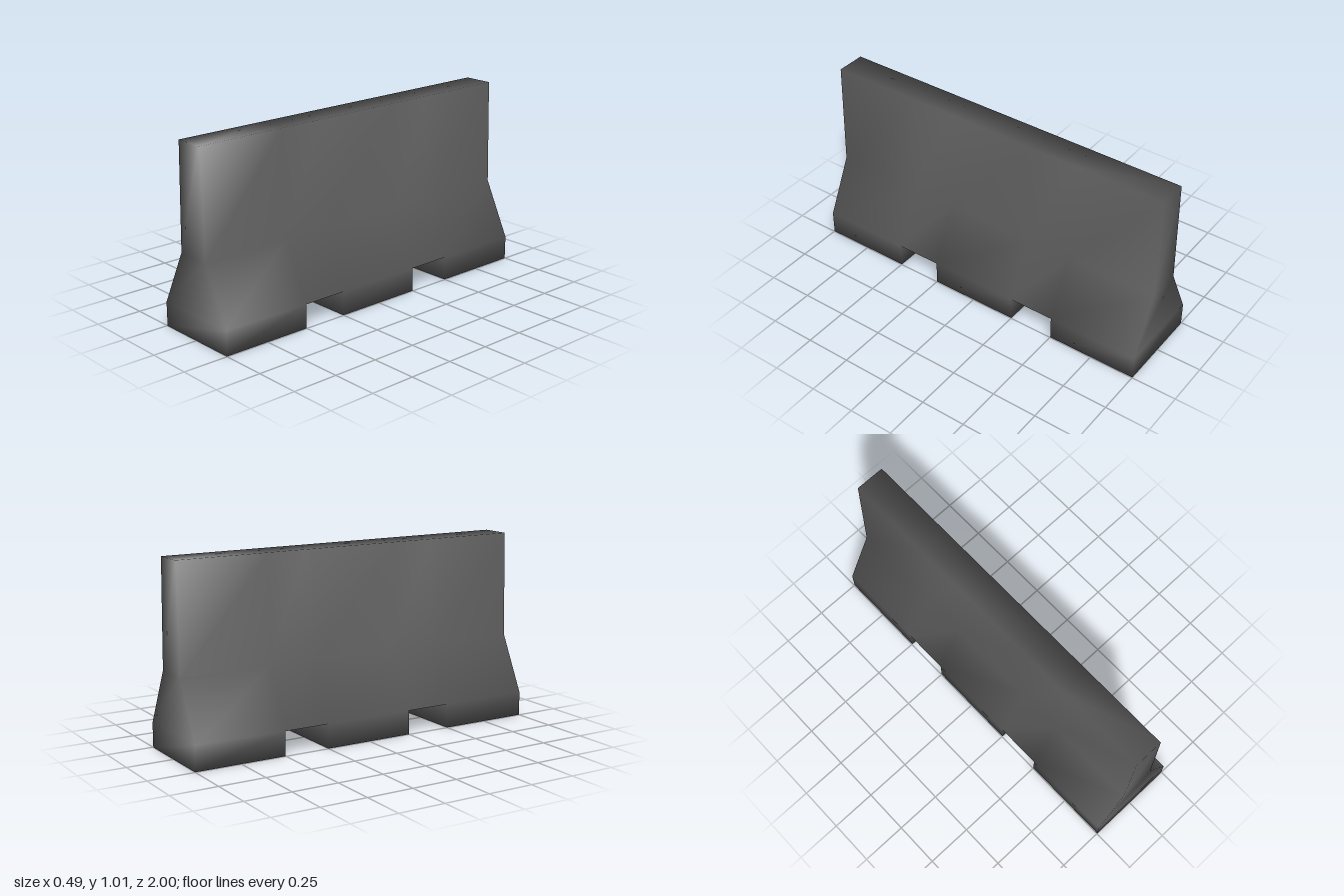
import * as THREE from 'three';

export function createModel() {
  const concrete = new THREE.MeshStandardMaterial({ color: 0x5e5e5e });
  concrete.name = 'dark grey concrete';

  // Cross-section: foot, sloped shoulder, tapering wall; mirrored to a full loop
  const half = [[0.247, 0], [0.247, 0.13], [0.097, 0.435], [0.081, 1.008]];
  const profile = [
    ...half.map(([x, y]) => [-x, y]),
    ...half.slice().reverse(),
  ];
  const stations = [-1, -0.5, -0.25, 0.25, 0.5, 1];

  const positions = [];
  for (const z of stations) for (const [x, y] of profile) positions.push(x, y, z);

  const index = [];
  const quad = (a, b, c, d) => index.push(a, b, c, a, c, d);
  const at = (s, i) => s * 8 + i;
  // Flat wall across the section between two profile levels, facing +z or -z
  const wall = (s, low, forward) => {
    const q = [low, 7 - low, 6 - low, low + 1].map((i) => at(s, i));
    if (!forward) q.reverse();
    quad(...q);
  };

  for (let s = 0; s < 5; s++) {
    // Odd bays are the drainage / forklift slots, without feet
    const slot = s % 2 === 1;
    const loop = slot ? [1, 2, 3, 4, 5, 6] : [0, 1, 2, 3, 4, 5, 6, 7];
    loop.forEach((i, k) => {
      const j = loop[(k + 1) % loop.length];
      quad(at(s, i), at(s + 1, i), at(s + 1, j), at(s, j));
    });
    // Vertical ends of each foot
    if (!slot) {
      wall(s, 0, false);
      wall(s + 1, 0, true);
    }
  }
  // End caps above the feet
  for (const low of [1, 2]) {
    wall(0, low, false);
    wall(5, low, true);
  }

  const geometry = new THREE.BufferGeometry();
  geometry.setAttribute('position', new THREE.Float32BufferAttribute(positions, 3));
  geometry.setIndex(index);
  geometry.computeVertexNormals();

  const barrier = new THREE.Mesh(geometry, concrete);
  barrier.name = 'barrierBody';
  const group = new THREE.Group();
  group.name = 'roadBarrier';
  group.add(barrier);
  return group;
}
